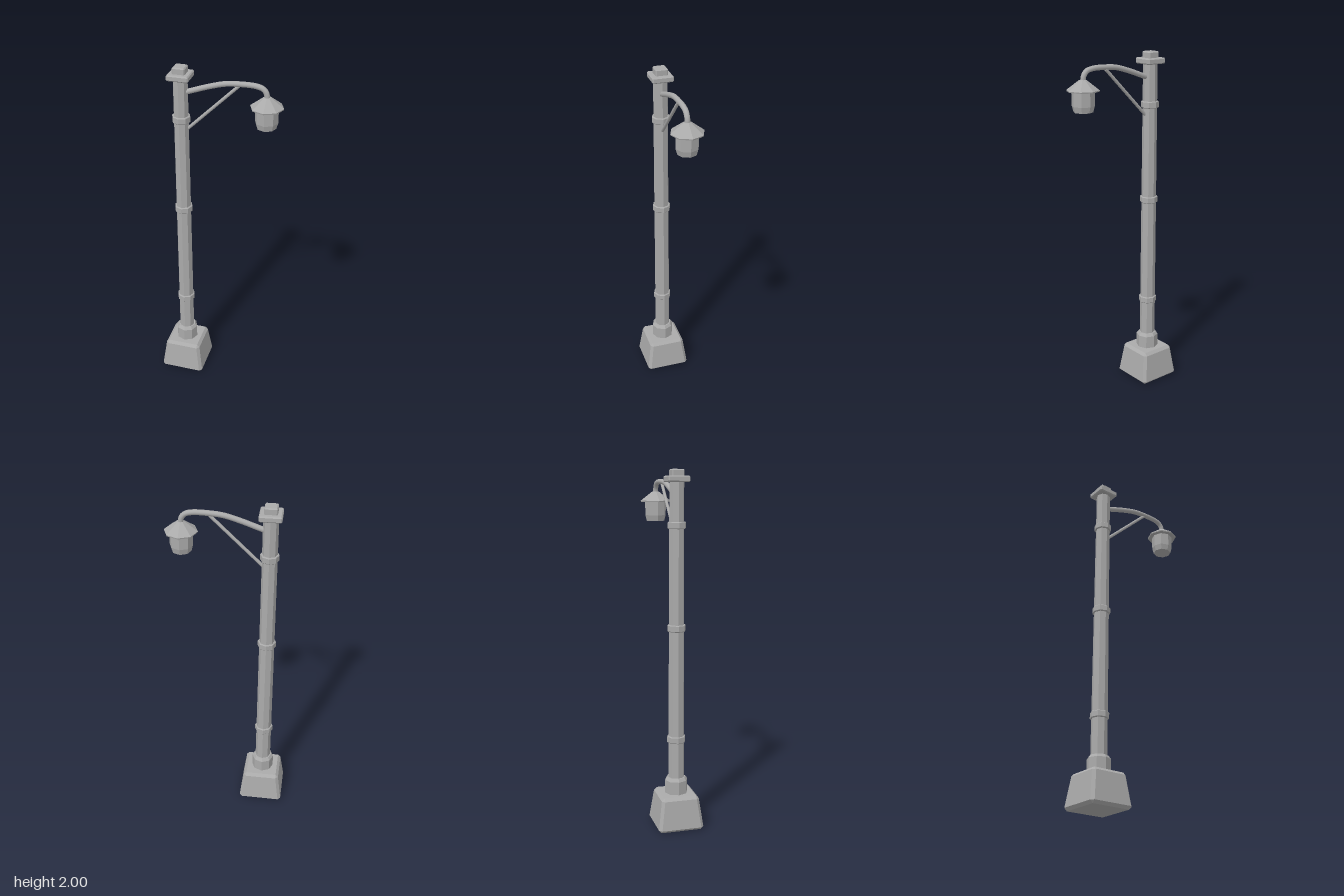
import * as THREE from 'three';
import { ConvexGeometry } from 'three/addons/geometries/ConvexGeometry.js';

const POLE_X = -0.216;
const LAMP_X = 0.252;

export function createModel() {
  const model = new THREE.Group();
  model.name = 'streetLamp';
  const metal = new THREE.MeshStandardMaterial({ color: 0xaaaaaa });
  metal.name = 'grey metal';

  const add = (name, geometry, x = 0) => {
    const mesh = new THREE.Mesh(geometry, metal);
    mesh.name = name;
    mesh.position.x = x;
    model.add(mesh);
    return mesh;
  };

  // Square block with every edge bevelled; half-widths may differ at bottom and top
  const bevelBlock = (halfBottom, halfTop, y0, y1, b) => {
    const points = [];
    for (const sx of [-1, 1]) for (const sz of [-1, 1]) {
      for (const [h, yEnd, yIn] of [[halfBottom, y0, y0 + b], [halfTop, y1, y1 - b]]) {
        points.push(
          new THREE.Vector3(sx * (h - b), yEnd, sz * (h - b)),
          new THREE.Vector3(sx * h, yIn, sz * (h - b)),
          new THREE.Vector3(sx * (h - b), yIn, sz * h));
      }
    }
    return new ConvexGeometry(points);
  };

  // Faceted eight-sided solid from [radius, y] pairs, bottom to top
  const octagon = (profile) => {
    const g = new THREE.LatheGeometry(profile.map(([r, y]) => new THREE.Vector2(r, y)), 8).toNonIndexed();
    g.computeVertexNormals();
    return g;
  };

  // Pedestal and foot collar
  add('pedestal', bevelBlock(0.13, 0.108, 0, 0.195, 0.016), POLE_X);
  add('footCollar', octagon([[0, 0.19], [0.065, 0.19], [0.065, 0.27], [0.053, 0.287], [0, 0.287]]), POLE_X);

  // Tapered pole with its bands
  add('pole', octagon([[0, 0.19], [0.046, 0.19], [0.041, 1.935], [0, 1.935]]), POLE_X);
  for (const [y, r] of [[0.511, 0.053], [1.146, 0.052], [1.705, 0.051]]) {
    add('poleBand', octagon([
      [0, y - 0.019], [r - 0.004, y - 0.019], [r, y - 0.015],
      [r, y + 0.015], [r - 0.004, y + 0.019], [0, y + 0.019],
    ]), POLE_X);
  }

  // Square cap and finial
  add('cap', bevelBlock(0.06, 0.06, 1.932, 1.965, 0.006), POLE_X);
  add('finial', bevelBlock(0.035, 0.035, 1.955, 2, 0.006), POLE_X);

  // Curved arm
  const arm = new THREE.CatmullRomCurve3([
    [-0.21, 1.853], [-0.165, 1.868], [-0.06, 1.905], [0.03, 1.93], [0.11, 1.937],
    [0.19, 1.936], [0.228, 1.925], [0.247, 1.902], [LAMP_X, 1.865],
  ].map(([x, y]) => new THREE.Vector3(x, y, 0)));
  add('arm', new THREE.TubeGeometry(arm, 48, 0.0148, 12));

  // Diagonal brace below the arm
  const from = new THREE.Vector3(-0.185, 1.645, 0);
  const to = new THREE.Vector3(0.1, 1.925, 0);
  const brace = add('brace', new THREE.CylinderGeometry(0.009, 0.009, from.distanceTo(to), 10));
  brace.position.lerpVectors(from, to, 0.5);
  brace.quaternion.setFromUnitVectors(new THREE.Vector3(0, 1, 0), to.clone().sub(from).normalize());

  // Lamp shade and lantern
  add('lampShade', octagon([[0, 1.822], [0.088, 1.822], [0.09, 1.829], [0.02, 1.882], [0, 1.884]]), LAMP_X);
  add('lantern', octagon([[0, 1.712], [0.053, 1.712], [0.062, 1.745], [0.063, 1.826], [0, 1.826]]), LAMP_X);

  return model;
}
